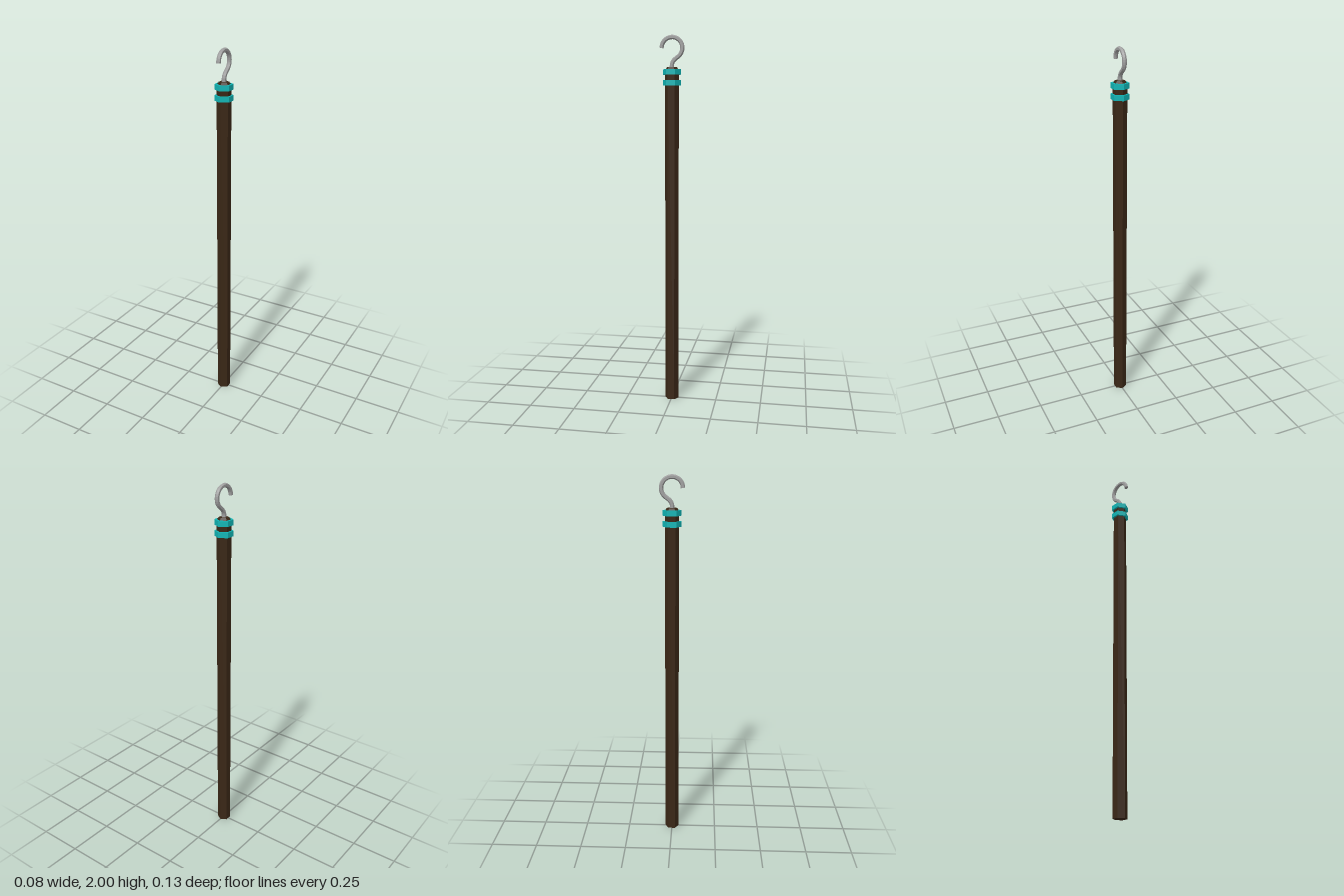
import * as THREE from 'three';

const mat = (color) => new THREE.MeshStandardMaterial({ color, flatShading: true });

export function createModel() {
  const group = new THREE.Group();
  const wood = mat(0x3a2716), teal = mat(0x10b5b5), metal = mat(0xa0a0a0);

  const add = (name, geometry, material, y = 0) => {
    const mesh = new THREE.Mesh(geometry, material);
    mesh.name = name;
    mesh.position.y = y;
    group.add(mesh);
  };

  // Hexagonal pole with a chamfered top
  const profile = [[0, 0], [0.037, 0], [0.037, 1.82], [0.026, 1.834], [0, 1.834]]
    .map(([r, y]) => new THREE.Vector2(r, y));
  add('pole', new THREE.LatheGeometry(profile, 6), wood);

  // Two hexagonal bands near the top
  for (const [name, y] of [['lowerBand', 1.753], ['upperBand', 1.809]]) {
    add(name, new THREE.CylinderGeometry(0.048, 0.048, 0.028, 6), teal, y);
  }

  // Hook: an arc opening to the front that bends back into a central stem
  const R = 0.0555, centreY = 1.933, points = [];
  for (let i = 0; i <= 12; i++) {
    const a = THREE.MathUtils.degToRad(i * 19.5);
    points.push(new THREE.Vector3(0, centreY + R * Math.sin(a), R * Math.cos(a)));
  }
  for (const [y, z] of [[1.872, -0.012], [1.854, -0.001], [1.82, 0]]) {
    points.push(new THREE.Vector3(0, y, z));
  }
  const section = new THREE.Shape();
  for (let k = 0; k < 6; k++) {
    const a = Math.PI / 6 + k * Math.PI / 3;
    section[k ? 'lineTo' : 'moveTo'](0.0115 * Math.cos(a), 0.0115 * Math.sin(a));
  }
  section.closePath();
  const path = new THREE.CatmullRomCurve3(points);
  add('hook', new THREE.ExtrudeGeometry(section, { steps: 30, extrudePath: path }), metal);

  return group;
}
